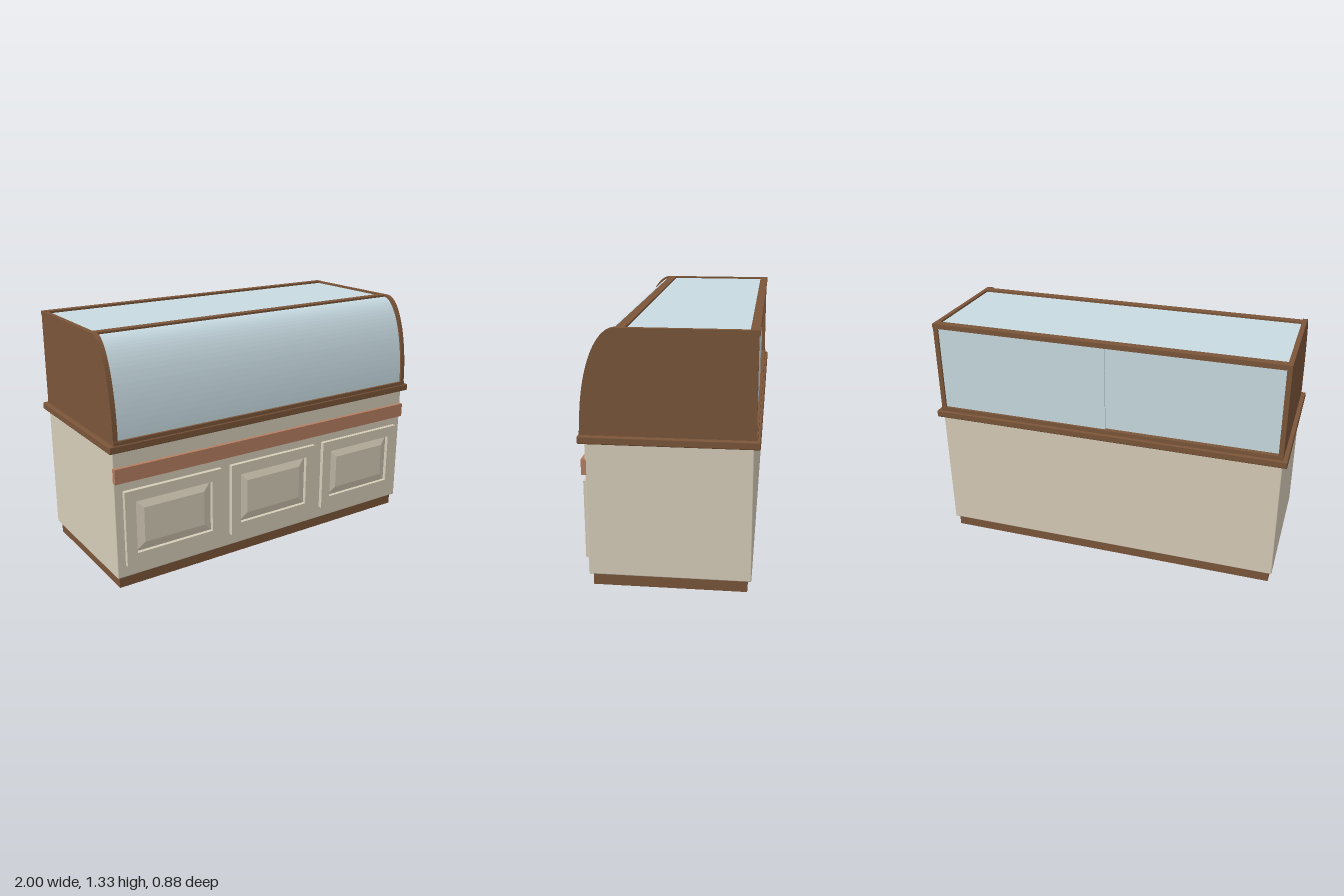
import * as THREE from 'three';
import { RoundedBoxGeometry } from 'three/addons/geometries/RoundedBoxGeometry.js';

const material = (color) => new THREE.MeshStandardMaterial({ color });

export function createModel() {
  const model = new THREE.Group();
  model.name = 'displayCounter';
  const wood = material(0x7a5539);
  const cream = material(0xd6ccb8);
  const copper = material(0xb67f62);
  const glass = material(0xc8dbe2);

  function add(name, geometry, mat, parent = model) {
    const mesh = new THREE.Mesh(geometry, mat);
    mesh.name = name;
    parent.add(mesh);
    return mesh;
  }

  // Box given by its limits on each axis; radius rounds the edges
  function block(name, mat, [x0, x1], [y0, y1], [z0, z1], radius = 0) {
    const size = [x1 - x0, y1 - y0, z1 - z0];
    const geometry = radius
      ? new RoundedBoxGeometry(...size, 2, radius)
      : new THREE.BoxGeometry(...size);
    geometry.translate((x0 + x1) / 2, (y0 + y1) / 2, (z0 + z1) / 2);
    return add(name, geometry, mat);
  }

  // Side-view outline (z, y) extruded along x and centred at x = cx
  function sideExtrude(shape, width, cx, curveSegments) {
    const geometry = new THREE.ExtrudeGeometry(shape, { depth: width, bevelEnabled: false, curveSegments });
    return geometry.rotateY(-Math.PI / 2).translate(cx + width / 2, 0, 0);
  }

  // Base cabinet
  block('plinth', wood, [-0.957, 0.957], [0, 0.07], [-0.39, 0.39]);
  block('cabinetBody', cream, [-0.975, 0.975], [0.065, 0.766], [-0.41, 0.41], 0.006);
  block('trimBand', copper, [-0.975, 0.975], [0.6, 0.68], [0.4, 0.43]);
  block('countertop', wood, [-1, 1], [0.766, 0.805], [-0.44, 0.44], 0.006);

  // Front panels: open frame with a bevelled raised field
  const frameShape = new THREE.Shape();
  frameShape.moveTo(-0.288, -0.207).lineTo(0.288, -0.207).lineTo(0.288, 0.207).lineTo(-0.288, 0.207).closePath();
  const opening = new THREE.Path();
  opening.moveTo(-0.228, -0.145).lineTo(-0.228, 0.145).lineTo(0.228, 0.145).lineTo(0.228, -0.145).closePath();
  frameShape.holes.push(opening);
  const frameGeometry = new THREE.ExtrudeGeometry(frameShape, { depth: 0.023, bevelEnabled: false });

  const fieldGeometry = new THREE.BoxGeometry(0.456, 0.29, 0.016).toNonIndexed();
  const corners = fieldGeometry.attributes.position;
  for (let i = 0; i < corners.count; i++) {
    if (corners.getZ(i) > 0) {
      corners.setX(i, corners.getX(i) - Math.sign(corners.getX(i)) * 0.048);
      corners.setY(i, corners.getY(i) - Math.sign(corners.getY(i)) * 0.048);
    }
  }
  fieldGeometry.computeVertexNormals();

  for (const x of [-0.64, 0, 0.64]) {
    const panel = new THREE.Group();
    panel.name = 'frontPanel';
    panel.position.set(x, 0.342, 0.41);
    add('panelFrame', frameGeometry, cream, panel);
    add('raisedField', fieldGeometry, cream, panel).position.z = 0.01;
    model.add(panel);
  }

  // Curved end walls
  const endShape = new THREE.Shape();
  endShape.moveTo(-0.42, 0.805).lineTo(0.43, 0.805).lineTo(0.43, 0.82);
  endShape.absellipse(0.25, 0.82, 0.18, 0.51, 0, Math.PI / 2, false);
  endShape.lineTo(-0.42, 1.33).closePath();
  for (const side of [-1, 1]) {
    add('endWall', sideExtrude(endShape, 0.026, side * 0.962, 12), wood);
  }

  // Rails between the end walls
  block('frontSill', wood, [-0.975, 0.975], [0.803, 0.825], [0.408, 0.435]);
  block('topFrontRail', wood, [-0.95, 0.95], [1.305, 1.33], [0.2, 0.247]);
  block('topBackRail', wood, [-0.975, 0.975], [1.304, 1.331], [-0.425, -0.38]);
  block('backSill', wood, [-0.975, 0.975], [0.803, 0.827], [-0.425, -0.38]);

  // Faceted curved front glass
  const glassShape = new THREE.Shape();
  glassShape.moveTo(0.42, 0.82);
  glassShape.absellipse(0.24, 0.82, 0.18, 0.5, 0, Math.PI / 2, false);
  glassShape.lineTo(0.24, 1.31);
  glassShape.absellipse(0.24, 0.82, 0.17, 0.49, Math.PI / 2, 0, true);
  glassShape.closePath();
  add('curvedGlass', sideExtrude(glassShape, 1.9, 0, 12), glass);

  // Top pane and two overlapping sliding back panes
  block('topGlass', glass, [-0.95, 0.95], [1.31, 1.32], [-0.385, 0.205]);
  block('slidingPaneLeft', glass, [-0.01, 0.95], [0.82, 1.31], [-0.41, -0.402]);
  block('slidingPaneRight', glass, [-0.95, 0.03], [0.82, 1.31], [-0.398, -0.39]);

  return model;
}
